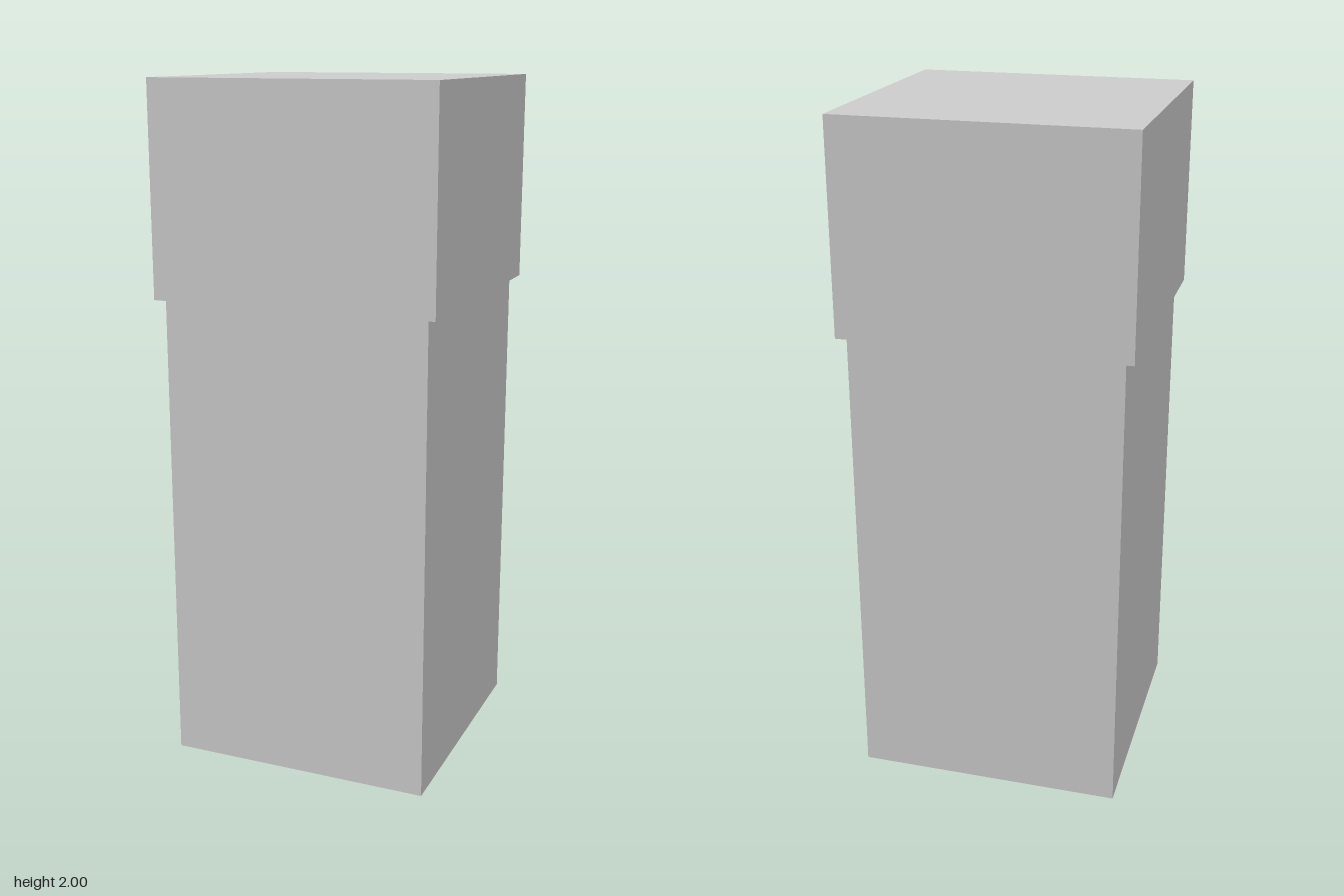
import * as THREE from 'three';

export function createModel() {
  const model = new THREE.Group();
  const material = new THREE.MeshStandardMaterial({ color: 0xcccccc, flatShading: true });

  // A box standing on a given height
  function addBlock(name, width, depth, bottom, top) {
    const mesh = new THREE.Mesh(new THREE.BoxGeometry(width, top - bottom, depth), material);
    mesh.name = name;
    mesh.position.y = (bottom + top) / 2;
    model.add(mesh);
  }

  // Tall post with a slightly wider cap
  const seam = 1.391;
  addBlock('post', 0.782, 0.772, 0, seam);
  addBlock('cap', 0.834, 0.812, seam, 2);

  return model;
}
